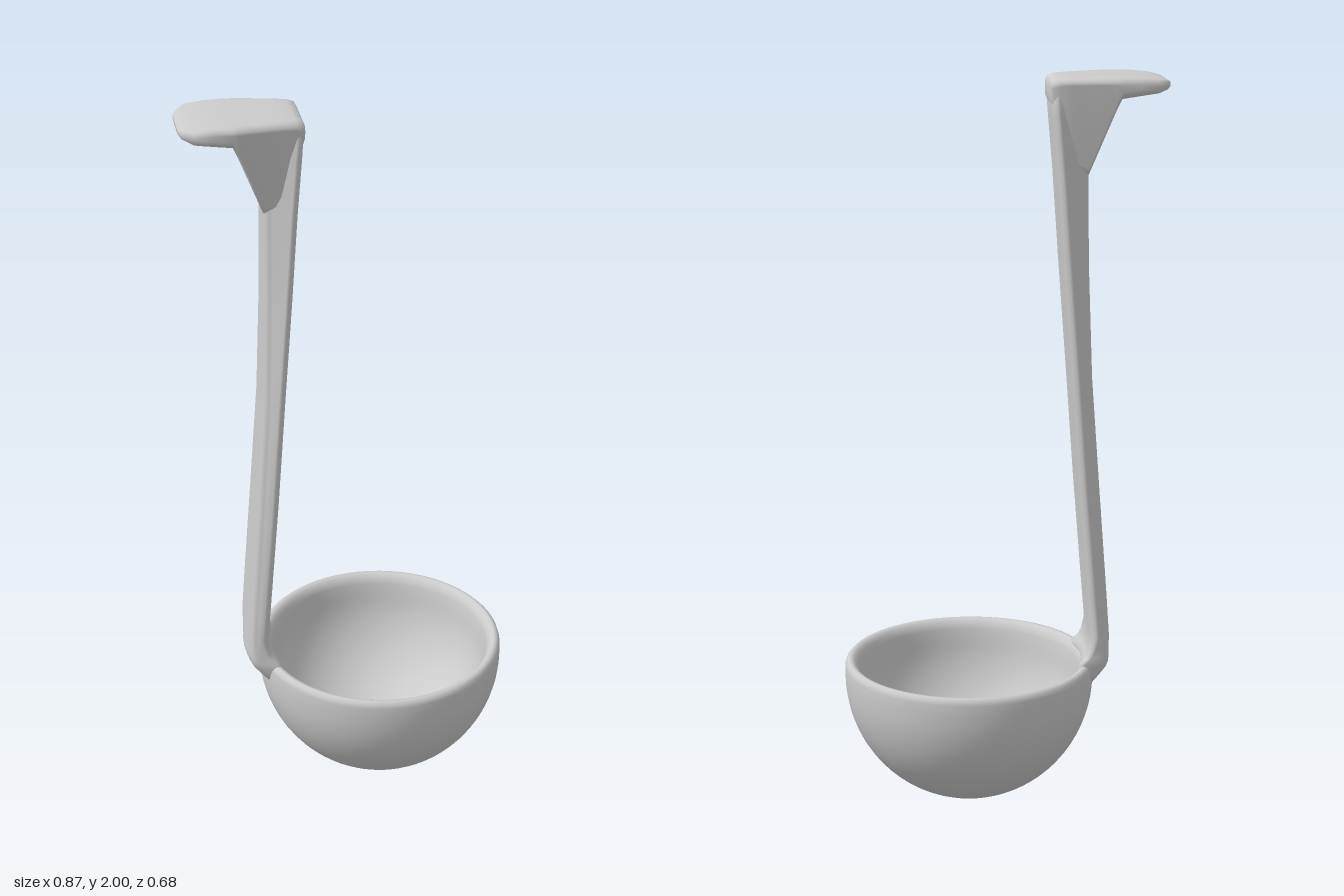
import * as THREE from 'three';

const material = new THREE.MeshStandardMaterial({ color: 0xcccccc, side: THREE.DoubleSide });
const BOWL_X = 0.09;

// Closed loop of a tapered rounded rectangle: p runs p0..p1, half width goes w0..w1.
function roundedRing(p0, p1, w0, w1, radius) {
  const steps = 4, points = [];
  const r = Math.min(radius, (p1 - p0) * 0.48);
  const corners = [[1, 1], [-1, 1], [-1, -1], [1, -1]];
  corners.forEach(([sp, sq], k) => {
    const w = sp > 0 ? w1 : w0;
    for (let i = 0; i <= steps; i++) {
      const a = (k + i / steps) * Math.PI / 2;
      points.push([(sp > 0 ? p1 - r : p0 + r) + r * Math.cos(a), sq * (w - r) + r * Math.sin(a)]);
    }
    // Extra points across the two broad faces
    if (k % 2) for (const f of [0.5, 0, -0.5]) points.push([sp > 0 ? p1 : p0, sq * f * (w - r)]);
  });
  return points;
}

// Skin the rings of all sections [t, p0, p1, w0, w1, radius] and close both ends.
function loft(sections, place) {
  const positions = [], indices = [];
  let n = 0;
  for (const [t, p0, p1, w0, w1, r] of sections) {
    const ring = roundedRing(p0, p1, w0, w1, r);
    n = ring.length;
    for (const [p, q] of ring) positions.push(...place(t, p, q));
  }
  const last = sections.length - 1;
  for (let i = 0; i < last; i++) {
    for (let j = 0; j < n; j++) {
      const a = i * n + j, b = i * n + (j + 1) % n;
      indices.push(a, b, b + n, a, b + n, a + n);
    }
  }
  for (const i of [0, last]) {
    const [t, p0, p1] = sections[i];
    const c = positions.length / 3;
    positions.push(...place(t, (p0 + p1) / 2, 0));
    for (let j = 0; j < n; j++) {
      const a = i * n + j, b = i * n + (j + 1) % n;
      if (i === 0) indices.push(c, b, a);
      else indices.push(c, a, b);
    }
  }
  const geometry = new THREE.BufferGeometry();
  geometry.setAttribute('position', new THREE.Float32BufferAttribute(positions, 3));
  geometry.setIndex(indices);
  geometry.computeVertexNormals();
  return geometry;
}

function addPart(group, name, geometry) {
  const mesh = new THREE.Mesh(geometry, material);
  mesh.name = name;
  group.add(mesh);
  return mesh;
}

// Hemispherical cup, thicker toward the floor, with a soft rounded lip
function bowlGeometry() {
  const profile = [], steps = 20;
  for (let i = 0; i <= steps; i++) {
    const a = (i / steps) * Math.PI / 2;
    profile.push(new THREE.Vector2(0.342 * Math.sin(a), 0.355 - 0.35 * Math.cos(a)));
  }
  for (const [r, y] of [[0.342, 0.383], [0.339, 0.394], [0.332, 0.401], [0.324, 0.401], [0.316, 0.396], [0.309, 0.386], [0.304, 0.373]]) {
    profile.push(new THREE.Vector2(r, y));
  }
  for (let i = steps - 1; i >= 0; i--) {
    const a = (i / steps) * Math.PI / 2;
    profile.push(new THREE.Vector2(0.3 * Math.sin(a), 0.362 - 0.305 * Math.cos(a)));
  }
  return new THREE.LatheGeometry(profile, 64);
}

export function createModel() {
  const group = new THREE.Group();
  group.name = 'ladle';

  addPart(group, 'bowl', bowlGeometry()).position.x = BOWL_X;

  // Flat stem, top to bottom: height, back x, front x, half widths back and front, corner radius
  const stem = [
    [1.975, -0.2, -0.135, 0.06, 0.075, 0.02],
    [1.955, -0.22, -0.124, 0.06, 0.087, 0.02],
    [1.9, -0.222, -0.128, 0.06, 0.09, 0.02],
    [1.74, -0.225, -0.142, 0.06, 0.092, 0.02],
    [1.5, -0.228, -0.159, 0.068, 0.095, 0.02],
    [1.2, -0.238, -0.182, 0.079, 0.098, 0.02],
    [0.9, -0.259, -0.204, 0.089, 0.101, 0.02],
    [0.6, -0.281, -0.229, 0.097, 0.105, 0.02],
    [0.48, -0.289, -0.239, 0.1, 0.106, 0.02],
    [0.44, -0.293, -0.237, 0.101, 0.107, 0.02],
    [0.42, -0.295, -0.23, 0.102, 0.109, 0.02],
    [0.405, -0.296, -0.218, 0.103, 0.116, 0.02],
    [0.39, -0.291, -0.224, 0.103, 0.115, 0.02],
    [0.365, -0.272, -0.225, 0.1, 0.108, 0.02],
    [0.335, -0.245, -0.234, 0.09, 0.09, 0.005],
  ];
  // The foot of the stem curves to follow the bowl wall.
  addPart(group, 'handle', loft(stem, (y, x, z) => {
    const bend = 1.5 * THREE.MathUtils.clamp((0.48 - y) / 0.08, 0, 1);
    return [x + bend * z * z, y, z];
  }));

  // Hook lip and its sloping brace: x, underside, top, half widths below and above, radius
  const hook = [
    [-0.435, 1.971, 1.983, 0.06, 0.06, 0.006],
    [-0.427, 1.964, 1.988, 0.076, 0.076, 0.012],
    [-0.4, 1.957, 1.994, 0.108, 0.108, 0.016],
    [-0.35, 1.95, 1.999, 0.111, 0.111, 0.018],
    [-0.305, 1.943, 2.0, 0.11, 0.113, 0.02],
    [-0.29, 1.908, 2.0, 0.1, 0.112, 0.02],
    [-0.26, 1.83, 2.0, 0.08, 0.108, 0.02],
    [-0.225, 1.74, 1.999, 0.06, 0.103, 0.02],
    [-0.18, 1.76, 1.998, 0.07, 0.096, 0.02],
    [-0.145, 1.87, 1.996, 0.08, 0.091, 0.02],
    [-0.127, 1.925, 1.991, 0.08, 0.086, 0.02],
    [-0.121, 1.94, 1.98, 0.074, 0.076, 0.015],
  ];
  addPart(group, 'hook', loft(hook, (x, y, z) => [x, y, z]));

  return group;
}
